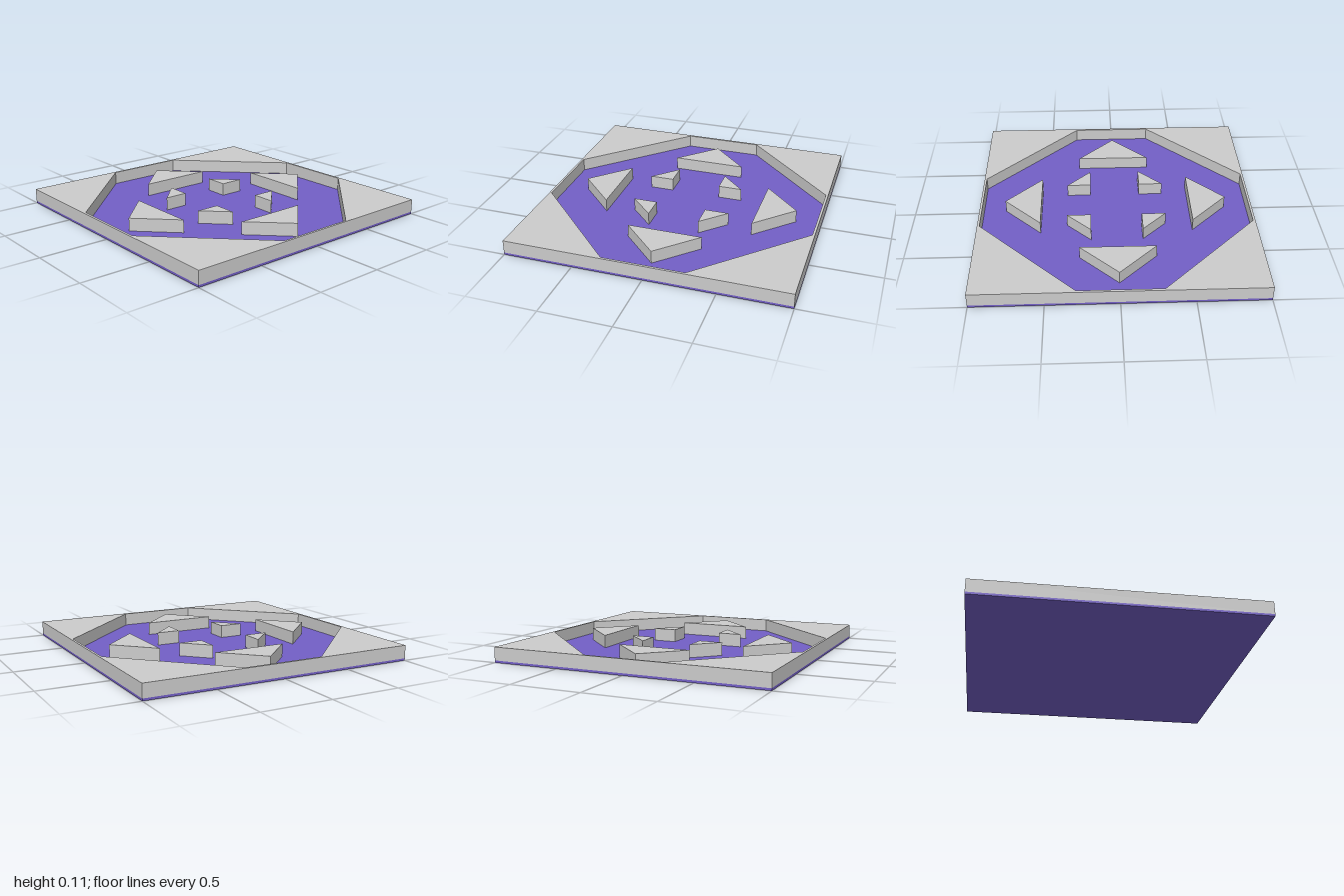
import * as THREE from 'three';

const BASE = 0.016, HEIGHT = 0.11;
const grey = new THREE.MeshStandardMaterial({ color: 0xcccccc });
const purple = new THREE.MeshStandardMaterial({ color: 0x735fc6 });

const points = (list) => list.map(([x, y]) => new THREE.Vector2(x, y));

// Extrudes a floor-plan shape upward from the top of the base plate
function raised(name, shape) {
  const geometry = new THREE.ExtrudeGeometry(shape, { depth: HEIGHT - BASE, bevelEnabled: false });
  geometry.rotateX(-Math.PI / 2);
  geometry.translate(0, BASE, 0);
  const mesh = new THREE.Mesh(geometry, grey);
  mesh.name = name;
  return mesh;
}

export function createModel() {
  const model = new THREE.Group();
  model.name = 'octagonTile';

  // Coloured base plate
  const base = new THREE.Mesh(new THREE.BoxGeometry(2, BASE, 2), purple);
  base.name = 'basePlate';
  base.position.y = BASE / 2;
  model.add(base);

  // Square frame with an octagonal opening
  const a = 0.983, b = 0.292;
  const frame = new THREE.Shape(points([[-1, -1], [1, -1], [1, 1], [-1, 1]]));
  frame.holes.push(new THREE.Path(points([
    [a, -b], [b, -a], [-b, -a], [-a, -b], [-a, b], [-b, a], [b, a], [a, b],
  ])));
  model.add(raised('frame', frame));

  // Four outward-pointing triangles and four small corner triangles
  const large = new THREE.Shape(points([[-0.27, 0.55], [0.27, 0.55], [0, 0.818]]));
  const small = new THREE.Shape(points([[0.185, 0.185], [0.36, 0.185], [0.185, 0.36]]));
  for (let i = 0; i < 4; i++) {
    const pair = [raised('outerTriangle' + (i + 1), large), raised('innerTriangle' + (i + 1), small)];
    for (const mesh of pair) {
      mesh.rotation.y = i * Math.PI / 2;
      model.add(mesh);
    }
  }
  return model;
}
